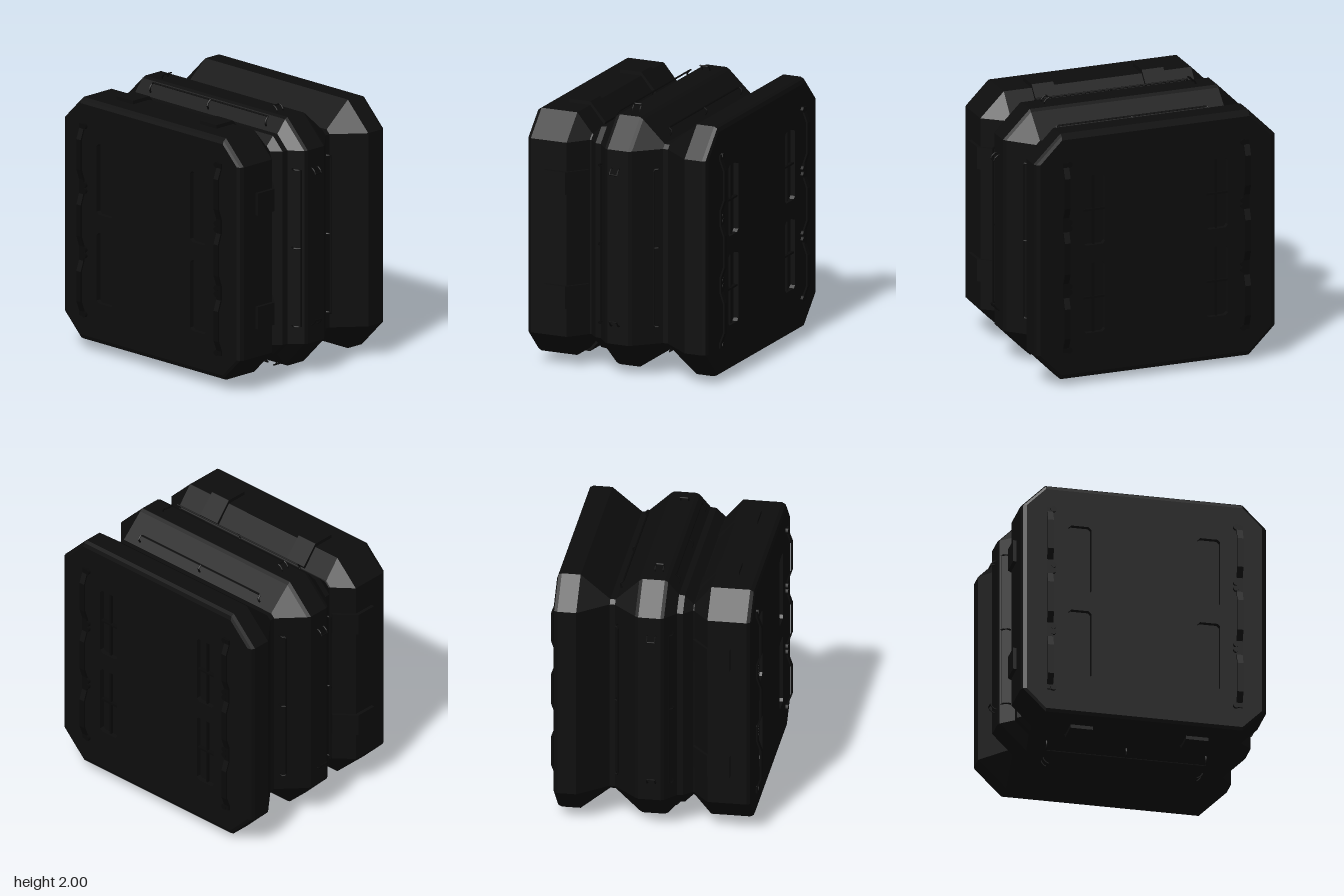
import * as THREE from 'three';

const CORNER = 0.74; // every chamfer starts here, however deep the section is

// Chamfered square of half-width h, counter-clockwise
const octagon = (h) => [
  [h, -CORNER], [h, CORNER], [CORNER, h], [-CORNER, h],
  [-h, CORNER], [-h, -CORNER], [-CORNER, -h], [CORNER, -h],
];

// Skin through octagons given as [z, halfWidth], front to back
function loft(profile) {
  const pos = [];
  for (let i = 0; i < profile.length - 1; i++) {
    const [z0, h0] = profile[i], [z1, h1] = profile[i + 1];
    const p = octagon(h0), q = octagon(h1);
    for (let j = 0; j < 8; j++) {
      const k = (j + 1) % 8;
      const a = [...p[j], z0], b = [...p[k], z0], c = [...q[j], z1], d = [...q[k], z1];
      pos.push(...a, ...c, ...b, ...b, ...c, ...d);
    }
  }
  const g = new THREE.BufferGeometry();
  g.setAttribute('position', new THREE.Float32BufferAttribute(pos, 3));
  g.computeVertexNormals();
  return g;
}

function rectPath(x0, y0, x1, y1, c) {
  const p = new THREE.Path();
  p.moveTo(x0 + c, y0);
  [[x1 - c, y0], [x1, y0 + c], [x1, y1 - c], [x1 - c, y1], [x0 + c, y1], [x0, y1 - c], [x0, y0 + c]]
    .forEach(([x, y]) => p.lineTo(x, y));
  p.closePath();
  return p;
}

// Tube through points with straight segments
function wire(points, radius) {
  const path = new THREE.CurvePath();
  const v = points.map((p) => new THREE.Vector3(...p));
  for (let i = 0; i < v.length - 1; i++) path.add(new THREE.LineCurve3(v[i], v[i + 1]));
  return new THREE.TubeGeometry(path, 64, radius, 6);
}

export function createModel() {
  const model = new THREE.Group();
  const body = new THREE.Group();
  body.position.y = 1;
  model.add(body);

  const shell = new THREE.MeshStandardMaterial({ color: 0x0d0d0d });
  shell.name = 'shell black';
  const fitting = new THREE.MeshStandardMaterial({ color: 0x090909 });
  fitting.name = 'fitting black';

  const add = (parent, name, geometry, material, x = 0, y = 0, z = 0) => {
    const m = new THREE.Mesh(geometry, material);
    m.name = name;
    m.position.set(x, y, z);
    parent.add(m);
    return m;
  };

  // Shell: front block, ridged middle, rear block
  add(body, 'shell', loft([
    [0.735, 0.885], [0.725, 0.91], [0.7, 0.925], [0.41, 0.925], [0.29, 0.78],
    [0.28, 0.775], [0.215, 0.84], [0.17, 0.845], [0.09, 0.94], [0.065, 0.952],
    [-0.1, 0.952], [-0.125, 0.935], [-0.3, 0.77], [-0.34, 0.77],
    [-0.56, 0.952], [-0.7, 0.952], [-0.725, 0.94], [-0.735, 0.91],
  ]), shell);

  // End faces, each with slots, grips and straps
  for (const end of [1, -1]) {
    const face = new THREE.Group();
    face.name = end > 0 ? 'frontFace' : 'backFace';
    face.rotation.y = end > 0 ? 0 : Math.PI;
    body.add(face);
    const half = end > 0 ? 0.885 : 0.91;
    const outline = () => new THREE.Shape(octagon(half).map(([x, y]) => new THREE.Vector2(x, y)));
    const plate = outline();
    for (const x of [-0.57, 0.4]) {
      plate.holes.push(rectPath(x, -0.61, x + 0.17, -0.07, 0.02));
      plate.holes.push(rectPath(x, 0.07, x + 0.17, 0.61, 0.02));
    }
    add(face, 'facePlate', new THREE.ExtrudeGeometry(plate, { depth: 0.04, bevelEnabled: false }), shell, 0, 0, 0.695);
    add(face, 'slotFloor', new THREE.ShapeGeometry(outline()), shell, 0, 0, 0.697);

    for (const s of [-1, 1]) {
      // Ribs inside the rear slots
      if (end < 0) {
        for (const y of [-0.34, 0.34]) {
          add(face, 'slotCrossRib', new THREE.BoxGeometry(0.17, 0.014, 0.03), fitting, s * 0.485, y, 0.712);
          add(face, 'slotRib', new THREE.BoxGeometry(0.014, 0.54, 0.02), fitting, s * 0.485, y, 0.707);
        }
      }
      // Wavy strap standing off the face
      const wave = [[0.735, 0.745], [0.7, 0.745], [0.62, 0.775], [0.39, 0.775], [0.31, 0.747], [0.2, 0.747], [0.12, 0.775]];
      const line = [...wave, ...wave.map(([y, z]) => [-y, z]).reverse()];
      const strip = new THREE.Shape([
        ...line.map(([y, z]) => new THREE.Vector2(z + 0.006, y)),
        ...line.map(([y, z]) => new THREE.Vector2(z - 0.007, y)).reverse(),
      ]);
      const g = new THREE.ExtrudeGeometry(strip, { depth: 0.045, bevelEnabled: false });
      g.rotateY(-Math.PI / 2); // shape x becomes z, depth runs toward -x
      add(face, 'strap', g, fitting, s * 0.713 + 0.0225, 0, 0);
      // Studs holding the strap
      for (const y of [-0.72, -0.27, -0.225, 0.225, 0.27, 0.72]) {
        const stud = add(face, 'strapStud', new THREE.CylinderGeometry(0.022, 0.022, 0.025, 10), fitting, s * 0.688, y, 0.743);
        stud.rotation.x = Math.PI / 2;
      }
    }
  }

  // The same fittings on all four sides
  const padProfile = [[0.58, 0.952], [0.41, 0.952], [0.285, 0.81], [0.3, 0.78], [0.41, 0.91], [0.58, 0.91]];
  const padGeometry = new THREE.ExtrudeGeometry(
    new THREE.Shape(padProfile.map(([z, y]) => new THREE.Vector2(-z, y))),
    { depth: 0.17, bevelEnabled: false },
  );
  padGeometry.rotateY(Math.PI / 2); // shape -x becomes z, depth runs along x

  const rails = [
    [[0.87, 0.145], [0.9, 0.158], [0.92, 0.15], [0.94, 0.125]],
    [[0.8, -0.275], [0.815, -0.285], [0.835, -0.29], [0.855, -0.265]],
  ];

  ['top', 'left', 'bottom', 'right'].forEach((label, i) => {
    const side = new THREE.Group();
    side.name = label + 'Fittings';
    side.rotation.z = -i * Math.PI / 2;
    body.add(side);

    for (const s of [-1, 1]) {
      // Raised pads on the front block
      add(side, 'pad', padGeometry, shell, s * 0.435 - 0.085, 0, 0);
      // Small hooks on the middle ridge, leaning inward
      const leg = [[0.6, 0.945], [0.597, 0.965], [0.58, 0.985], [0.56, 0.994]];
      add(side, 'hook', wire([
        ...leg.map(([x, y]) => [s * x, y, 0.03]),
        ...leg.map(([x, y]) => [s * x, y, -0.03]).reverse(),
      ], 0.006), fitting);
    }

    // Long rails on the ridge slopes, with a post in the middle
    for (const rail of rails) {
      add(side, 'rail', wire([
        ...rail.map(([y, z]) => [-0.6, y, z]),
        ...rail.map(([y, z]) => [0.6, y, z]).reverse(),
      ], 0.007), fitting);
      add(side, 'railPost', wire(rail.map(([y, z]) => [0, y, z]), 0.007), fitting);
    }
  });

  return model;
}
